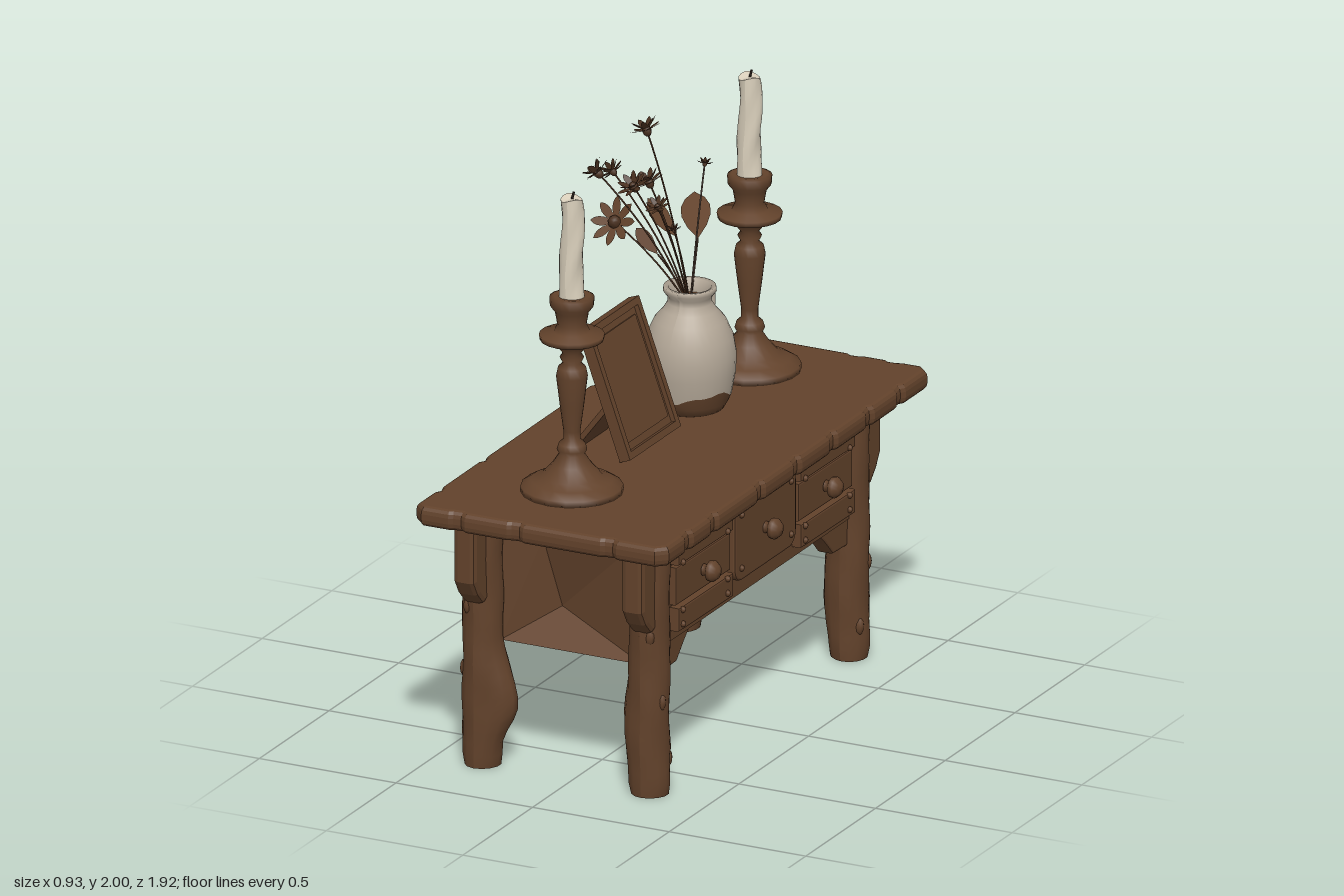
import * as THREE from 'three';

const mat = (name, color) => {
  const m = new THREE.MeshStandardMaterial({ color, side: THREE.DoubleSide });
  m.name = name;
  return m;
};

export function createModel() {
  const wood = mat('brown wood', 0x62422b), dark = mat('dried flower', 0x49301f);
  const clay = mat('pale clay', 0xb3a797), wax = mat('wax', 0xd9cfbb), wickMat = mat('wick', 0x2a211b);
  const root = new THREE.Group();
  const V = (x, y, z) => new THREE.Vector3(x, y, z);
  const add = (name, geo, m, x = 0, y = 0, z = 0, parent = root) => {
    const mesh = new THREE.Mesh(geo, m);
    mesh.name = name;
    mesh.position.set(x, y, z);
    parent.add(mesh);
    return mesh;
  };
  const box = (name, x0, x1, y0, y1, z0, z1) =>
    add(name, new THREE.BoxGeometry(x1 - x0, y1 - y0, z1 - z0), wood, (x0 + x1) / 2, (y0 + y1) / 2, (z0 + z1) / 2);
  const lathe = (pts, seg = 24) => new THREE.LatheGeometry(pts.map(p => new THREE.Vector2(p[0], p[1])), seg);
  // Plate drawn in the z-y plane, thickened from x0 to x1
  const plate = (name, shape, x0, x1, bevel = 0.008) => {
    const g = new THREE.ExtrudeGeometry(shape, {
      depth: x1 - x0 - 2 * bevel, bevelThickness: bevel, bevelSize: bevel, bevelOffset: -bevel, bevelSegments: 2, curveSegments: 6,
    });
    g.rotateY(-Math.PI / 2).translate(x1 - bevel, 0, 0);
    return add(name, g, wood);
  };
  const poly = pts => new THREE.Shape(pts.map(p => new THREE.Vector2(p[0], p[1])));

  // Table top: straight worn edges with a few nicks and clipped corners
  const rim = [], X = 0.462, Z = 0.962;
  const side = (ax, az, bx, bz, nx, nz, nicks) => {
    const at = (t, d) => rim.push([ax + (bx - ax) * t - nx * d, az + (bz - az) * t - nz * d]);
    const w = 0.03 / Math.hypot(bx - ax, bz - az);
    at(0, 0);
    for (const t of nicks) {
      at(t - w, 0);
      at(t - w * 0.4, 0.011);
      at(t + w * 0.5, 0.008);
      at(t + w, 0.001);
    }
    at(1, 0);
  };
  side(-X + 0.035, -Z, X - 0.035, -Z, 0, -1, [0.72, 0.88]);
  side(X, -Z + 0.035, X, Z - 0.035, 1, 0, [0.1, 0.22, 0.36, 0.5, 0.64, 0.82, 0.92]);
  side(X - 0.035, Z, -X + 0.035, Z, 0, 1, [0.2, 0.6, 0.85]);
  side(-X, Z - 0.035, -X, -Z + 0.035, -1, 0, [0.08, 0.25, 0.68]);
  const top = new THREE.ExtrudeGeometry(poly(rim), {
    depth: 0.02, bevelThickness: 0.025, bevelSize: 0.02, bevelOffset: -0.02, bevelSegments: 3,
  });
  add('tableTop', top.rotateX(Math.PI / 2), wood, 0, 0.935, 0);

  // Rough-hewn legs with a swelling on the inner side, and their brackets
  for (const sx of [-1, 1]) for (const sz of [-1, 1]) {
    const g = new THREE.CylinderGeometry(0.066, 0.066, 0.89, 14, 22);
    const p = g.attributes.position;
    for (let i = 0; i < p.count; i++) {
      const x = p.getX(i), y = p.getY(i) + 0.445, z = p.getZ(i), a = Math.atan2(z, x);
      const k = 1.02 + 0.03 * Math.sin(y * 17 + a * 2 + sx) + 0.03 * Math.sin(y * 31 - a * 3 + sz);
      const inner = Math.max(0, -sx * x) / 0.066;
      const bulge = THREE.MathUtils.smoothstep(y, 0.06, 0.22) * (1 - THREE.MathUtils.smoothstep(y, 0.24, 0.46));
      const foot = y < 0.02 ? 0.92 : 1;
      p.setX(i, x * k * foot - sx * (sx < 0 ? 0.055 : 0.022) * bulge * inner);
      p.setZ(i, z * (k + 0.07 * y) * foot);
    }
    g.computeVertexNormals();
    const lx = sx < 0 ? -0.335 : 0.275, lz = sz > 0 ? 0.70 : -0.73;
    add('leg', g, wood, lx, 0.445, lz);
    for (const [ky, ka] of [[0.33, 0.4], [0.56, 1.1], [0.12, -0.5]]) {
      const knot = add('legKnot', new THREE.SphereGeometry(0.022, 8, 6), wood, lx + sx * 0.058 * Math.cos(ka), ky, lz + sz * 0.058 * Math.sin(ka));
      knot.scale.set(0.8, 1.4, 0.8);
    }
    const bx = sx < 0 ? [-0.375, -0.295] : [0.24, 0.32];
    const outer = [[0.70, 0.89], [0.84, 0.89], [0.84, 0.67], [0.81, 0.62], [0.77, 0.58], [0.70, 0.58]];
    const shift = sz < 0 ? -0.04 : 0;
    plate('outerBracket', poly(outer.map(([z, y]) => [sz * z + shift, y])), ...bx, 0.018);
    if (sx > 0) {
      const under = [[0.68, 0.52], [0.42, 0.52], [0.46, 0.495], [0.5, 0.46], [0.55, 0.41], [0.68, 0.405]];
      plate('lowerBracket', poly(under.map(([z, y]) => [sz * z + shift / 2, y])), 0.24, 0.30);
    }
  }

  // Cabinet body
  box('backPanel', -0.30, -0.265, 0.5, 0.89, -0.68, 0.66);
  box('bottomPanel', -0.28, 0.29, 0.5, 0.53, -0.6, 0.57);
  box('frontApron', 0.24, 0.305, 0.5, 0.89, -0.68, 0.66);
  // Dented end panels, folded inward to a short ridge
  for (const [s, z] of [[1, 0.68], [-1, 0.71]]) {
    const c = [V(-0.28, 0.43, z), V(0.24, 0.43, z), V(0.24, 0.87, z), V(-0.28, 0.87, z)];
    const a = V(-0.16, 0.78, z - 0.07), b = V(-0.11, 0.54, z - 0.11);
    const g = new THREE.BufferGeometry().setFromPoints([c[0], c[1], b, c[1], c[2], b, c[2], a, b, c[2], c[3], a, c[3], c[0], a, c[0], b, a]);
    g.computeVertexNormals();
    add('endPanel', g.scale(1, 1, s), wood);
  }

  // Drawers: planked outer pair, rounded middle one, with knobs and rivets
  const rivet = (y, z, x) => add('rivet', new THREE.SphereGeometry(0.011, 8, 6), wood, x, y, z);
  const knobGeo = lathe([[0, 0.06], [0.022, 0.055], [0.036, 0.038], [0.034, 0.022], [0.018, 0.012], [0.02, 0]], 16).rotateZ(-Math.PI / 2);
  for (const [z0, z1] of [[0.225, 0.615], [-0.65, -0.262]]) {
    for (const [y0, y1, x1] of [[0.765, 0.86, 0.34], [0.625, 0.76, 0.33], [0.535, 0.62, 0.34]])
      plate('drawerPlank', poly([[z0, y0], [z1, y0 + 0.004], [z1, y1], [z0, y1 - 0.004]]), 0.295, x1, 0.006);
    for (const z of [z0 + 0.045, z1 - 0.025]) for (const y of [0.825, 0.775, 0.61, 0.56]) rivet(y, z, 0.341);
    add('drawerKnob', knobGeo, wood, 0.335, 0.695, (z0 + z1) / 2 + 0.01);
  }
  const rr = new THREE.Shape(), c = 0.05, q = [-0.238, 0.202, 0.565, 0.84];
  rr.absarc(q[1] - c, q[3] - c, c, 0, Math.PI / 2);
  rr.absarc(q[0] + c, q[3] - c, c, Math.PI / 2, Math.PI);
  rr.absarc(q[0] + c, q[2] + c, c, Math.PI, Math.PI * 1.5);
  rr.absarc(q[1] - c, q[2] + c, c, Math.PI * 1.5, Math.PI * 2);
  plate('middleDrawer', rr, 0.295, 0.335);
  for (const z of [-0.195, 0.16]) for (const y of [0.61, 0.795]) rivet(y, z, 0.336);
  add('drawerKnob', knobGeo, wood, 0.335, 0.695, -0.015);

  // Candlesticks with slightly crooked candles
  const stick = [[0, 0.96], [0.17, 0.96], [0.168, 0.98], [0.135, 1.0], [0.1, 1.015], [0.065, 1.055], [0.042, 1.09], [0.05, 1.105], [0.044, 1.125],
    [0.028, 1.14], [0.028, 1.17], [0.04, 1.26], [0.052, 1.36], [0.046, 1.39], [0.03, 1.405], [0.04, 1.425], [0.03, 1.44], [0.05, 1.465],
    [0.055, 1.48], [0.105, 1.487], [0.108, 1.505], [0.06, 1.515], [0.048, 1.54], [0.056, 1.585], [0.072, 1.605], [0.074, 1.635], [0.06, 1.64], [0, 1.63]];
  for (const z of [0.6, -0.675]) {
    add('candlestick', lathe(stick, 18), wood, -0.06, 0, z);
    const g = new THREE.CylinderGeometry(0.036, 0.041, 0.35, 14, 10);
    const p = g.attributes.position;
    for (let i = 0; i < p.count; i++) {
      const y = p.getY(i), a = Math.atan2(p.getZ(i), p.getX(i)), k = 1 + 0.07 * Math.sin(y * 30 + 3 * a);
      p.setXYZ(i, p.getX(i) * k + 0.004 * Math.sin(y * 18), y + (y > 0.17 ? 0.008 * Math.sin(a * 2) : 0), p.getZ(i) * k);
    }
    g.computeVertexNormals();
    add('candle', g, wax, -0.06, 1.8, z);
    add('wick', new THREE.CylinderGeometry(0.004, 0.004, 0.04, 6), wickMat, -0.058, 1.98, z).rotation.z = -0.25;
  }

  // Leaning picture frame with a wide easel board behind
  const frame = new THREE.Group();
  frame.name = 'pictureFrame';
  frame.position.set(-0.015, 0.97, 0.125);
  frame.rotation.z = 0.345;
  root.add(frame);
  const H = 0.455, W = 0.365, B = 0.024;
  add('frameBack', new THREE.BoxGeometry(0.02, H - 0.02, W - 0.02), wood, -0.006, H / 2, 0, frame);
  add('framePanel', new THREE.BoxGeometry(0.01, H - 0.1, W - 0.08), wood, 0.005, H / 2, 0, frame);
  for (const s of [-1, 1]) {
    add('frameSide', new THREE.BoxGeometry(0.04, H, B), wood, 0, H / 2, s * (W - B) / 2, frame);
    add('frameRail', new THREE.BoxGeometry(0.04, B, W - 2 * B), wood, 0, H / 2 + s * (H - B) / 2, 0, frame);
  }
  add('easelBoard', new THREE.BoxGeometry(0.018, 0.21, 0.25), wood, -0.163, 1.046, 0.165).rotation.z = -0.65;

  // Jug with an unglazed foot, a dark filling and a handle
  const jx = -0.075, jz = -0.275;
  const foot = lathe([[0, 0.962], [0.112, 0.962], [0.128, 0.99], [0.141, 1.03]], 32);
  const body = lathe([[0.139, 1.025], [0.151, 1.09], [0.153, 1.15], [0.143, 1.21], [0.118, 1.265], [0.088, 1.3], [0.073, 1.325], [0.073, 1.345],
    [0.088, 1.365], [0.086, 1.38], [0.07, 1.378], [0.06, 1.34], [0.06, 1.3]], 32);
  // The glaze line is wavy: both edges slide along the wall together
  for (const [g, limit] of [[foot, y => y > 1.02], [body, y => y < 1.03]]) {
    const p = g.attributes.position;
    for (let i = 0; i < p.count; i++) {
      if (!limit(p.getY(i))) continue;
      const a = Math.atan2(p.getZ(i), p.getX(i)), y = 1.026 + 0.014 * Math.sin(a * 3) + 0.006 * Math.sin(a * 7), r = 0.139 + (y - 1.022) * 0.18;
      p.setXYZ(i, r * Math.cos(a), y, r * Math.sin(a));
    }
    g.computeVertexNormals();
  }
  add('jugFoot', foot, wood, jx, 0, jz);
  add('jugBody', body, clay, jx, 0, jz);
  add('jugFilling', new THREE.CircleGeometry(0.062, 20).rotateX(-Math.PI / 2), wood, jx, 1.335, jz);
  const handle = new THREE.CatmullRomCurve3([V(0, 1.31, -0.07), V(0, 1.34, -0.115), V(0, 1.325, -0.15), V(0, 1.27, -0.157), V(0, 1.215, -0.135)]);
  add('jugHandle', new THREE.TubeGeometry(handle, 16, 0.013, 8), clay, jx, 0, jz);

  // Dried flowers: thin bent stems, petal rosettes and leaves
  const petalShape = (l, w) => {
    const s = new THREE.Shape();
    s.moveTo(0, 0);
    s.quadraticCurveTo(w, l * 0.7, 0, l);
    s.quadraticCurveTo(-w, l * 0.7, 0, 0);
    return new THREE.ShapeGeometry(s, 5);
  };
  const stem = (x, y, z) => {
    const curve = new THREE.QuadraticBezierCurve3(V(jx, 1.3, jz), V(jx + (x - jx) * 0.35, 1.3 + (y - 1.3) * 0.55, jz + (z - jz) * 0.4), V(x, y, z));
    add('stem', new THREE.TubeGeometry(curve, 10, 0.003, 5), dark);
    return curve.getTangent(1);
  };
  const flower = (x, y, z, r, facing, count, tilts, m) => {
    const head = new THREE.Group();
    head.name = 'flower';
    head.position.set(x, y, z);
    head.quaternion.setFromUnitVectors(V(0, 1, 0), facing.normalize());
    root.add(head);
    add('flowerCentre', new THREE.SphereGeometry(r * 0.3, 8, 6), dark, 0, 0, 0, head).scale.y = 1.3;
    for (let i = 0; i < count; i++) {
      const petal = add('petal', petalShape(r * 1.1, r * 0.4), m, 0, 0, 0, head);
      petal.rotation.set(tilts[i % tilts.length], i * 2 * Math.PI / count, 0, 'YXZ');
    }
  };
  for (const [x, y, z, r] of [[-0.24, 1.885, -0.29, 0.052], [-0.39, 1.73, -0.235, 0.052], [-0.19, 1.76, -0.1, 0.052], [-0.2, 1.73, -0.23, 0.052],
    [-0.42, 1.675, -0.4, 0.042], [-0.13, 1.68, -0.155, 0.04], [-0.12, 1.73, -0.47, 0.026], [-0.17, 1.53, -0.35, 0.025]])
    flower(x, y, z, r, stem(x, y, z), 14, [1.35, 0.85], dark);
  // Large open bloom facing forward
  stem(-0.35, 1.55, -0.28);
  flower(-0.35, 1.55, -0.28, 0.08, V(-0.15, 0.55, 0.8), 8, [1.35], wood);
  // Broad leaves
  for (const [a, b, w, roll] of [[V(-0.14, 1.47, -0.46), V(-0.24, 1.56, -0.63), 0.1, 0.4], [V(-0.2, 1.48, -0.42), V(-0.36, 1.55, -0.53), 0.06, 0.2],
    [V(-0.19, 1.47, -0.27), V(-0.28, 1.54, -0.29), 0.05, 0.3]]) {
    stem(a.x, a.y, a.z);
    const d = b.clone().sub(a), m = add('leaf', petalShape(d.length(), w), wood, a.x, a.y, a.z);
    m.quaternion.setFromUnitVectors(V(0, 1, 0), d.normalize());
    m.rotateY(roll);
  }
  return root;
}
